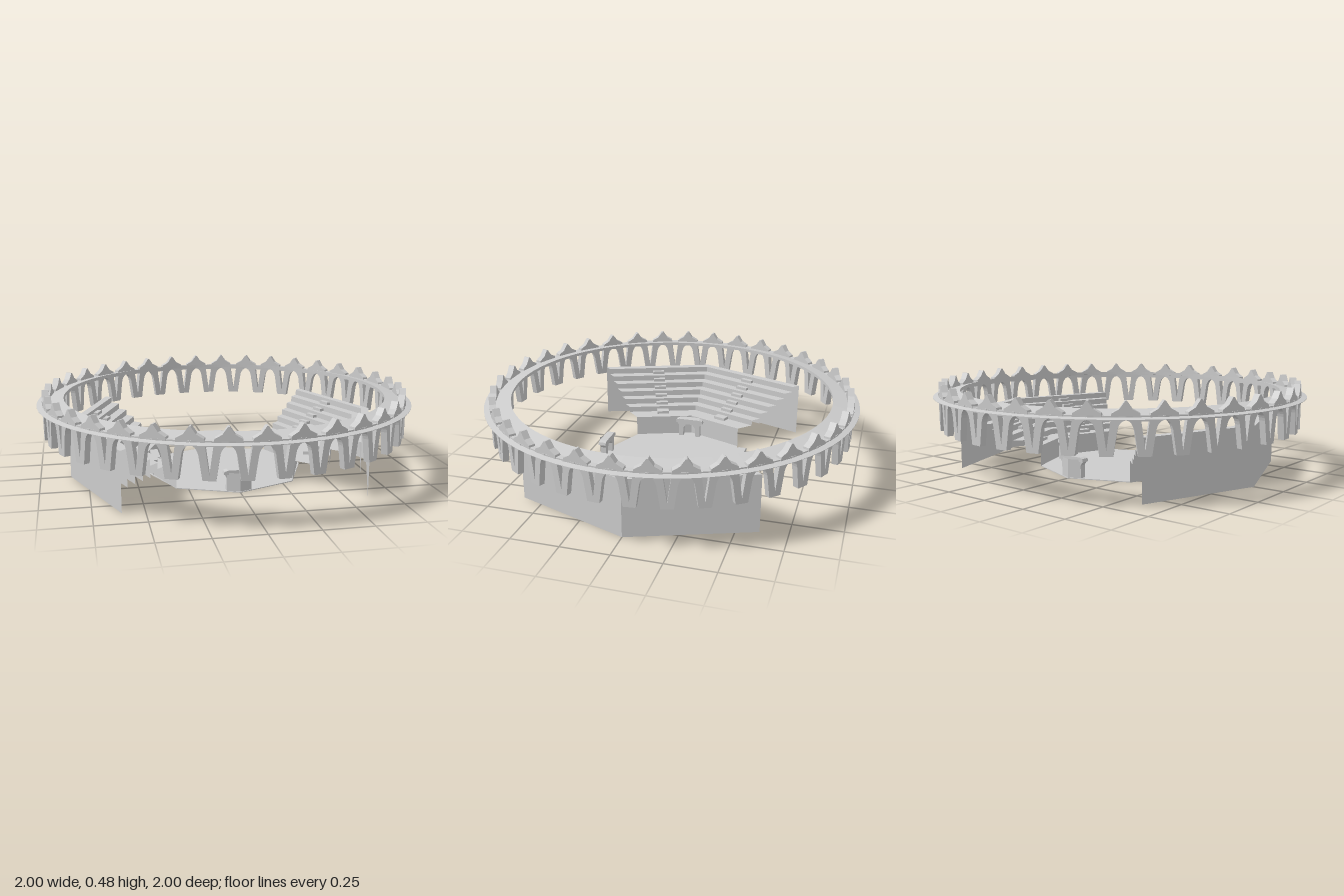
import * as THREE from 'three';

const stone = new THREE.MeshStandardMaterial({ color: 0xcccccc, side: THREE.DoubleSide });
stone.name = 'paleStone';

function add(parent, geometry, name) {
  const mesh = new THREE.Mesh(geometry, stone);
  mesh.name = name;
  parent.add(mesh);
  return mesh;
}

// Flat-sided sheet lofted between two open paths of [x, y, z] points
function sheet(a, b) {
  const pos = [];
  for (let i = 0; i < a.length - 1; i++) {
    pos.push(...a[i], ...b[i], ...b[i + 1], ...a[i], ...b[i + 1], ...a[i + 1]);
  }
  const g = new THREE.BufferGeometry();
  g.setAttribute('position', new THREE.Float32BufferAttribute(pos, 3));
  g.computeVertexNormals();
  return g;
}

function polygon(points) {
  return new THREE.Shape(points.map(([x, y]) => new THREE.Vector2(x, y)));
}

function extrude(shape, depth, z) {
  return new THREE.ExtrudeGeometry(shape, { depth, bevelEnabled: false, curveSegments: 5 }).translate(0, 0, z);
}

// Bent line of a seating row: two corners and a middle point
const C = Math.SQRT1_2, MID = 0.97;
const row = (r, y) => [[r * C, y, r * C], [r * MID, y, 0], [r * C, y, -r * C]];

function makeStand() {
  const stand = new THREE.Group();
  stand.name = 'seatingStand';
  const radii = [0.438, 0.535, 0.592, 0.649, 0.706, 0.763, 0.82, 0.866];
  const base = 0.115, rise = 0.0317;
  const level = k => base + rise * k;
  for (let k = 0; k < 7; k++) {
    add(stand, sheet(row(radii[k], k === 0 ? 0 : base), row(radii[k], level(k))), 'riser');
    add(stand, sheet(row(radii[k], level(k)), row(radii[k + 1], level(k))), 'tread');
  }
  add(stand, sheet(row(radii[7], level(6)), row(radii[7], 0)), 'backWall');

  // Half-height aisle steps in the middle of each wing
  const tilt = Math.atan2(MID - C, C);
  for (const s of [1, -1]) {
    for (let k = 0; k < 6; k++) {
      const r = radii[k + 1], d = (r - radii[k]) * 0.45;
      const step = add(stand, new THREE.BoxGeometry(d, rise / 2, 0.07), 'aisleStep');
      step.position.set(
        r * (C + MID) / 2 - Math.cos(tilt) * d / 2,
        level(k) + rise / 4,
        s * (r * C / 2 - Math.sin(tilt) * d / 2));
      step.rotation.y = -s * tilt;
    }
  }
  return stand;
}

// Small gateway with two legs, an arched lintel and a flared cap
function makeGate(backed) {
  const gate = new THREE.Group();
  gate.name = 'gate';
  const arch = polygon([[-0.065, 0], [-0.038, 0], [-0.036, 0.055], [-0.02, 0.078], [0.02, 0.078],
    [0.036, 0.055], [0.038, 0], [0.065, 0], [0.063, 0.07], [0.078, 0.092], [-0.078, 0.092], [-0.063, 0.07]]);
  add(gate, extrude(arch, 0.032, 0.37), 'gateArch');
  const cap = polygon([[-0.082, 0.09], [0.082, 0.09], [0.078, 0.106], [0.06, 0.112], [-0.06, 0.112], [-0.078, 0.106]]);
  add(gate, extrude(cap, 0.042, 0.365), 'gateCap');
  if (backed) {
    const bend = y => [[-0.064, y, 0.403], [0, y, 0.429], [0.064, y, 0.403]];
    add(gate, sheet(bend(0), bend(0.1)), 'gateBack');
  }
  return gate;
}

export function createModel() {
  const model = new THREE.Group();
  model.name = 'arena';

  // Octagonal floor
  const floor = add(model, new THREE.CylinderGeometry(0.435, 0.435, 0.004, 8).toNonIndexed(), 'arenaFloor');
  floor.geometry.computeVertexNormals();
  floor.position.y = 0.002;

  // Two facing stands
  for (const turn of [0, Math.PI]) {
    const stand = makeStand();
    stand.rotation.y = turn;
    model.add(stand);
  }

  // Four gates
  for (let i = 0; i < 4; i++) {
    const gate = makeGate(i % 2 === 0);
    gate.rotation.y = i * Math.PI / 2;
    model.add(gate);
  }

  // Outward-sloping canopy ring with a sharp outer edge
  const v = (x, y) => new THREE.Vector2(x, y);
  const faces = [
    [[1, 0.407], [0.86, 0.436], 'ringTop'],
    [[0.86, 0.436], [0.86, 0.42], 'ringInnerEdge'],
    [[0.86, 0.42], [1, 0.405], 'ringUnderside'],
    [[1, 0.405], [1, 0.407], 'ringOuterEdge'],
  ];
  for (const [a, b, name] of faces) add(model, new THREE.LatheGeometry([v(...a), v(...b)], 72), name);

  // Forked pillars that flare into arches
  const pillar = new THREE.Shape();
  pillar.moveTo(-0.03, 0.24);
  pillar.lineTo(0.03, 0.24);
  pillar.lineTo(0.047, 0.355);
  pillar.quadraticCurveTo(0.056, 0.395, 0.083, 0.4);
  pillar.lineTo(0.083, 0.42);
  pillar.lineTo(-0.083, 0.42);
  pillar.lineTo(-0.083, 0.4);
  pillar.quadraticCurveTo(-0.056, 0.395, -0.047, 0.355);
  pillar.closePath();
  pillar.holes.push(new THREE.Path([v(0, 0.265), v(-0.018, 0.395), v(0.018, 0.395)]));
  const pillarGeo = extrude(pillar, 0.032, 0.937);

  // Pointed crest above every arch
  const crest = polygon([[-0.065, 0.41], [0.065, 0.41], [0.062, 0.43], [0.028, 0.449],
    [0.004, 0.483], [-0.004, 0.483], [-0.028, 0.449], [-0.062, 0.43]]);
  const crestGeo = extrude(crest, 0.034, 0.936);

  for (let i = 0; i < 36; i++) {
    const angle = i * Math.PI / 18;
    add(model, crestGeo, 'crest').rotation.y = angle;
    add(model, pillarGeo, 'pillar').rotation.y = angle + Math.PI / 36;
  }
  return model;
}
